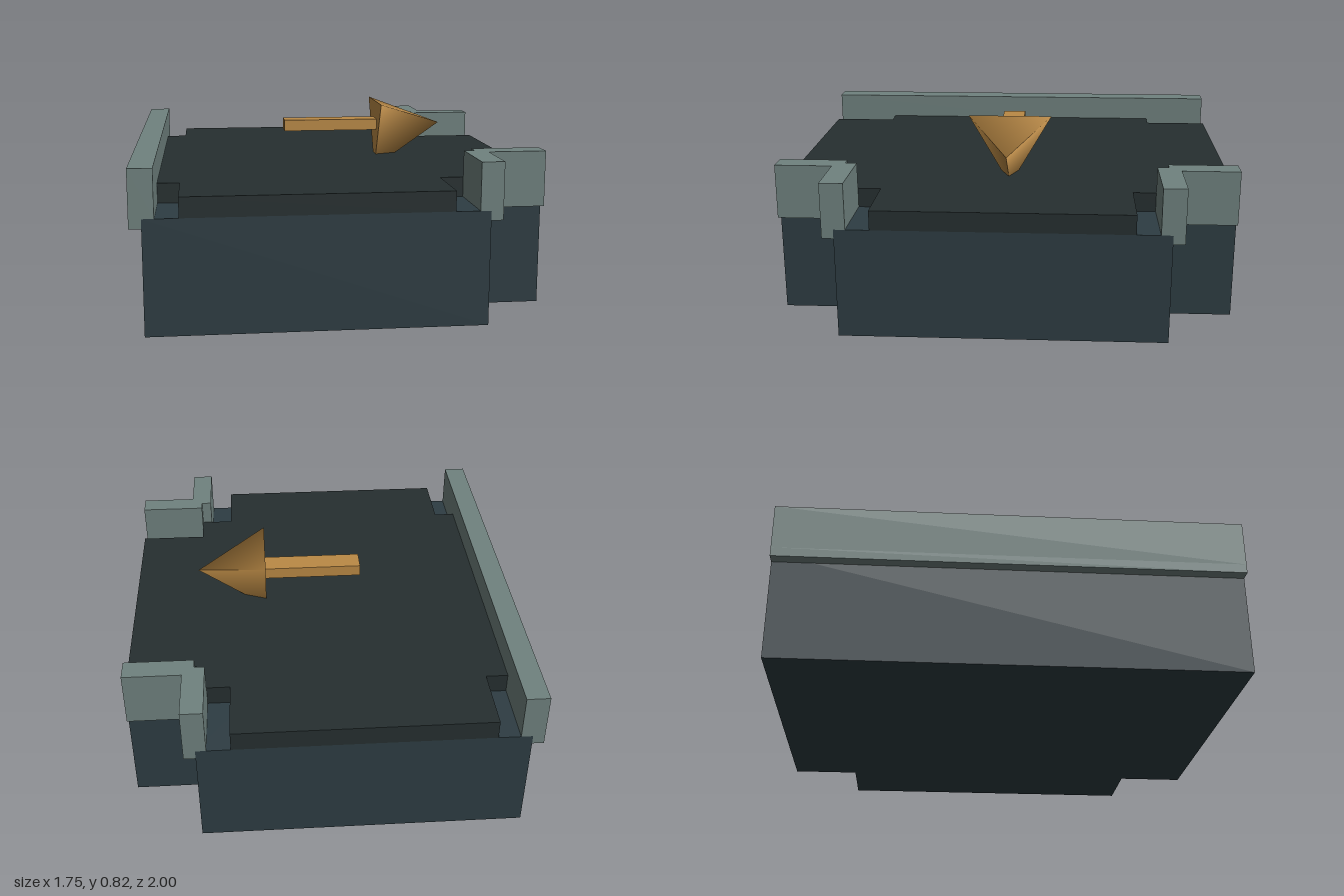
import * as THREE from 'three';

const material = (color) => new THREE.MeshStandardMaterial({ color });

// Extrude an [x, z] outline upward from y0 to y1
function slab(name, outline, y0, y1, mat) {
  const shape = new THREE.Shape(outline.map(([x, z]) => new THREE.Vector2(x, -z)));
  const geometry = new THREE.ExtrudeGeometry(shape, { depth: y1 - y0, bevelEnabled: false });
  geometry.rotateX(-Math.PI / 2).translate(0, y0, 0);
  const mesh = new THREE.Mesh(geometry, mat);
  mesh.name = name;
  return mesh;
}

// Complete an outline given for z > 0 with its mirror image
const symmetric = (half) => [...half, ...half.map(([x, z]) => [x, -z]).reverse()];

export function createModel() {
  const model = new THREE.Group();
  model.name = 'floorTile';
  const baseMat = material(0x2e3d43);
  const floorMat = material(0x262f30);
  const curbMat = material(0x70827f);
  const arrowMat = material(0xbb8a45);

  // Foundation block and the raised floor plate on it
  model.add(slab('base', symmetric([[-0.825, 1], [0.57, 1], [0.57, 0.7], [0.87, 0.7]]), 0, 0.48, baseMat));
  model.add(slab('floor', symmetric([
    [-0.775, 0.7], [-0.68, 0.7], [-0.68, 1], [0.425, 1],
    [0.425, 0.7], [0.57, 0.7], [0.57, 0.55], [0.87, 0.55],
  ]), 0.48, 0.565, floorMat));

  // Straight curb along the -x side, with a lip hanging over the base
  model.add(slab('sideCurb', symmetric([[-0.875, 1], [-0.775, 1]]), 0.48, 0.68, curbMat));
  model.add(slab('sideCurbLip', symmetric([[-0.875, 1], [-0.825, 1]]), 0.44, 0.48, curbMat));

  // Angled curbs wrapping the two notched corners
  for (const [side, s] of [['front', 1], ['back', -1]]) {
    const mirror = (points) => points.map(([x, z]) => [x, z * s]);
    const outer = [[0.87, 0.75], [0.62, 0.75], [0.62, 1]];
    model.add(slab(side + 'CornerCurb', mirror([
      [0.525, 1], [0.525, 0.7], [0.57, 0.7], [0.57, 0.65], [0.87, 0.65], ...outer,
    ]), 0.48, 0.68, curbMat));
    model.add(slab(side + 'CornerCurbLip', mirror([
      [0.57, 1], [0.57, 0.7], [0.87, 0.7], ...outer,
    ]), 0.44, 0.48, curbMat));
  }

  // Direction arrow: square bar and three-sided head
  const arrow = new THREE.Group();
  arrow.name = 'arrow';
  const shaft = new THREE.Mesh(new THREE.BoxGeometry(0.445, 0.052, 0.104), arrowMat);
  shaft.name = 'arrowShaft';
  shaft.position.set(0.03, 0.712, 0);
  const headGeometry = new THREE.ConeGeometry(0.219, 0.315, 3, 1, false, Math.PI / 2);
  headGeometry.rotateZ(-Math.PI / 2);
  const head = new THREE.Mesh(headGeometry, arrowMat);
  head.name = 'arrowHead';
  head.position.set(0.41, 0.712, 0);
  arrow.add(shaft, head);
  model.add(arrow);

  return model;
}
